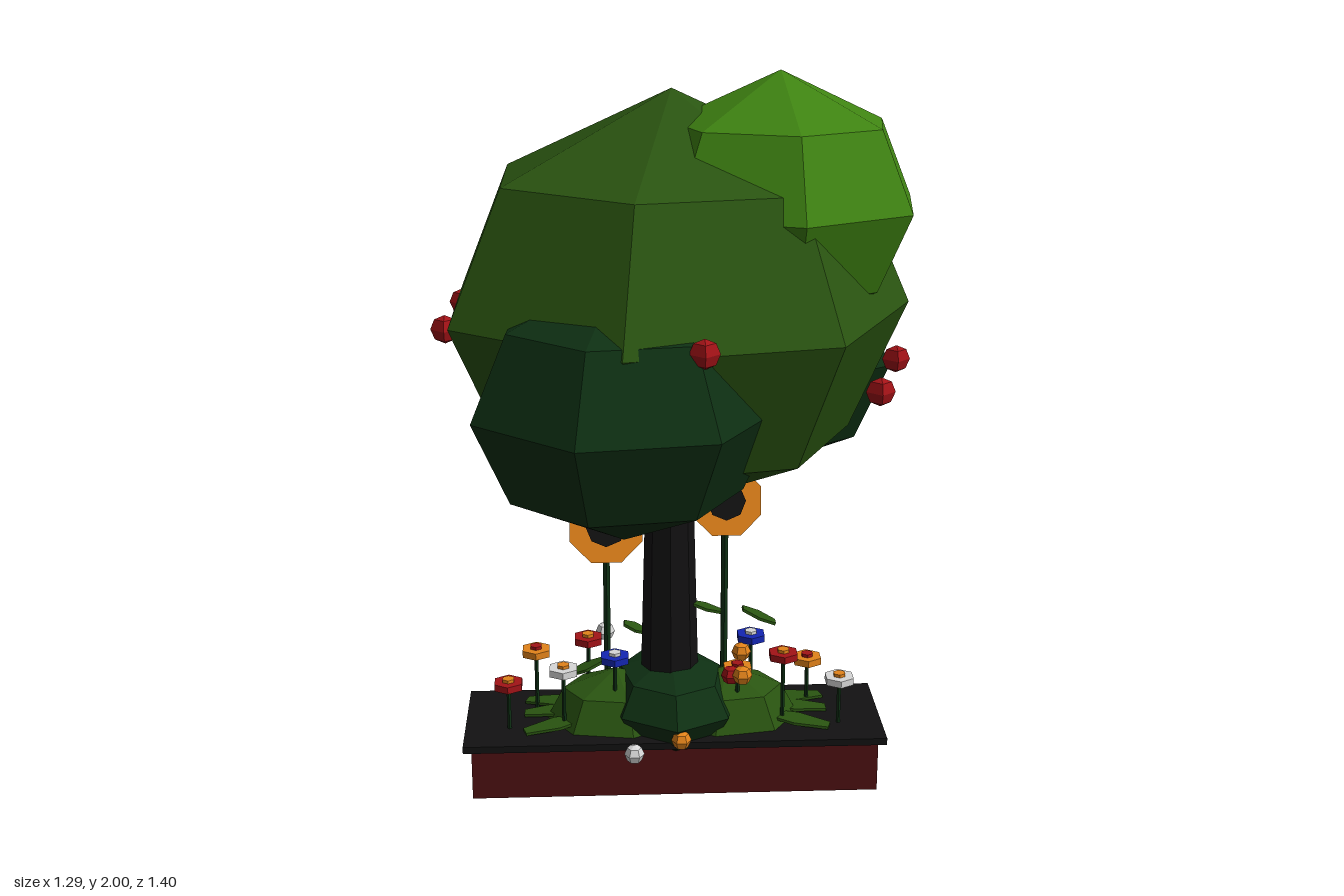
import * as THREE from 'three';

const mat = (name, color) => {
  const m = new THREE.MeshStandardMaterial({ color, flatShading: true });
  m.name = name;
  return m;
};

export function createModel() {
  const root = new THREE.Group();
  root.name = 'planterTree';
  const C = {
    leaf: mat('leafGreen', 0x2a5511),
    bright: mat('brightGreen', 0x3f8312),
    dark: mat('darkGreen', 0x0e3013),
    black: mat('soilBlack', 0x121112),
    brick: mat('brickRed', 0x4c1012),
    red: mat('red', 0xa31317),
    orange: mat('orange', 0xe3831a),
    white: mat('white', 0xd8d8d8),
    blue: mat('blue', 0x1426b4),
  };

  const add = (parent, name, geo, material, x = 0, y = 0, z = 0) => {
    const mesh = new THREE.Mesh(geo, material);
    mesh.name = name;
    mesh.position.set(x, y, z);
    parent.add(mesh);
    return mesh;
  };
  const group = (name, x = 0, y = 0, z = 0) => {
    const g = new THREE.Group();
    g.name = name;
    g.position.set(x, y, z);
    root.add(g);
    return g;
  };
  const cyl = (rt, rb, h, n) => new THREE.CylinderGeometry(rt, rb, h, n);

  // Planter box with a soil slab
  add(root, 'planterBox', new THREE.BoxGeometry(1.14, 0.146, 0.333), C.brick, -0.008, 0.077, -0.016);
  add(root, 'soil', new THREE.BoxGeometry(1.185, 0.02, 0.36), C.black, -0.008, 0.16, -0.016);

  // Trunk
  add(root, 'trunk', cyl(0.06, 0.09, 1.1, 8), C.black, -0.018, 0.55, -0.018);

  // Seven-sided foliage ball with a corner towards +x
  const blobGeo = new THREE.LatheGeometry(
    [[0, -0.89], [0.76, -0.54], [1, 0], [0.76, 0.54], [0, 0.89]].map(p => new THREE.Vector2(...p)),
    7, Math.PI / 2);
  const blob = (name, material, x, y, z, r, turn) => {
    const m = add(root, name, blobGeo, material, x, y, z);
    m.scale.setScalar(r);
    m.rotation.y = turn;
    return m;
  };
  blob('mainCrown', C.leaf, -0.012, 1.38, -0.02, 0.64, 0);
  blob('topCrown', C.bright, 0.265, 1.66, 0.04, 0.382, 0.3);
  blob('frontCrown', C.dark, -0.15, 1.19, 0.31, 0.403, -0.075);
  blob('backCrown', C.dark, 0.24, 1.175, -0.31, 0.408, 0.41);

  // Apples
  const apples = [
    [-0.61, 1.34, 0.08], [0.04, 1.39, 0.57], [0.505, 1.22, 0.31], [0.6, 1.22, -0.02],
    [0.575, 1.27, -0.235], [-0.17, 1.31, -0.63], [-0.46, 1.32, -0.435], [-0.585, 1.34, -0.25],
  ];
  const appleGeo = new THREE.SphereGeometry(0.038, 4, 4);
  for (const p of apples) add(root, 'apple', appleGeo, C.red, ...p);

  // Bush around the trunk and two lower mounds
  blob('centreBush', C.dark, -0.014, 0.225, -0.016, 0.22, Math.PI / 14).scale.set(0.19, 0.155, 0.228);
  blob('leftMound', C.leaf, -0.17, 0.17, -0.016, 0.2, Math.PI).scale.set(0.2, 0.17, 0.15);
  blob('rightMound', C.leaf, 0.15, 0.17, -0.016, 0.2, 0).scale.set(0.2, 0.17, 0.15);

  // Thin leaves: centre, length, width, turn and slope
  const leafGeo = cyl(1, 1, 1, 6);
  const leaf = (x, y, z, len, wid, turn, slope) => {
    const m = add(root, 'leafBlade', leafGeo, C.leaf, x, y, z);
    m.scale.set(len / 2, 0.008, wid / 2);
    m.rotation.set(0, turn, slope);
  };
  leaf(0.085, 0.505, -0.01, 0.1, 0.05, 0, -0.32);
  leaf(0.24, 0.455, -0.06, 0.12, 0.06, 0, -0.45);
  leaf(-0.115, 0.425, -0.06, 0.08, 0.06, 0, -0.4);
  leaf(-0.255, 0.305, -0.06, 0.12, 0.06, 0, 0.4);
  // Leaves lying on the soil
  for (const s of [-1, 1]) {
    for (const [dz, turn] of [[0.06, -0.3], [-0.03, 0], [-0.09, 0.3]]) {
      leaf(s * 0.34, 0.185, dz, 0.22, 0.07, s * turn, -s * 0.1);
    }
  }

  // Sunflowers: tilted octagonal discs on tall stems
  const sunflower = (x, y, z, r) => {
    add(root, 'sunflowerStem', cyl(0.011, 0.011, y - 0.17, 6), C.dark, x, (y + 0.17) / 2, z - 0.03);
    const head = group('sunflowerHead', x, y, z);
    head.rotation.x = Math.PI / 2 - 0.27;
    const petals = add(head, 'petals', cyl(r, r, 0.018, 8), C.orange);
    petals.rotation.y = Math.PI / 8;
    add(head, 'seeds', cyl(r * 0.52, r * 0.52, 0.016, 8), C.black, 0, 0.009, 0);
    add(head, 'backBud', cyl(0.03, 0.015, 0.02, 6), C.black, 0, -0.017, 0);
  };
  sunflower(-0.195, 0.745, -0.03, 0.11);
  sunflower(0.14, 0.815, -0.03, 0.105);
  sunflower(-0.02, 0.91, 0.035, 0.105);

  // Bedding flowers in two staggered rows
  const flowers = [
    [-0.475, 0.305, 0.05, 'red', 'orange'], [-0.4, 0.345, -0.085, 'orange', 'red'],
    [-0.32, 0.345, 0.05, 'white', 'orange'], [-0.25, 0.38, -0.085, 'red', 'orange'],
    [-0.175, 0.38, 0.05, 'blue', 'white'], [0.17, 0.345, 0.06, 'orange', 'red'],
    [0.22, 0.38, -0.085, 'blue', 'white'], [0.3, 0.38, 0.05, 'red', 'orange'],
    [0.385, 0.305, -0.085, 'orange', 'red'], [0.46, 0.305, 0.055, 'white', 'orange'],
  ];
  for (const [x, y, z, petal, eye] of flowers) {
    const f = group('flower', x, 0, z);
    add(f, 'stem', cyl(0.006, 0.006, y - 0.16, 5), C.dark, 0, (y + 0.16) / 2, 0);
    add(f, 'petals', cyl(0.044, 0.044, 0.02, 6), C[petal], 0, y, 0);
    add(f, 'eye', cyl(0.018, 0.018, 0.012, 6), C[eye], 0, y + 0.013, 0);
  }

  // Small blossoms on the centre bush
  const blossoms = [
    ['white', -0.125, 0.155, 0.195], ['orange', 0.005, 0.195, 0.195], ['white', -0.2, 0.365, -0.175],
    ['orange', 0.18, 0.345, 0.105], ['red', 0.15, 0.335, 0.08], ['orange', 0.19, 0.345, -0.055],
    ['red', 0.14, 0.135, -0.215], ['red', -0.08, 0.115, -0.215],
  ];
  const blossomGeo = new THREE.SphereGeometry(0.028, 6, 4);
  for (const [c, ...p] of blossoms) add(root, 'blossom', blossomGeo, C[c], ...p);

  return root;
}
